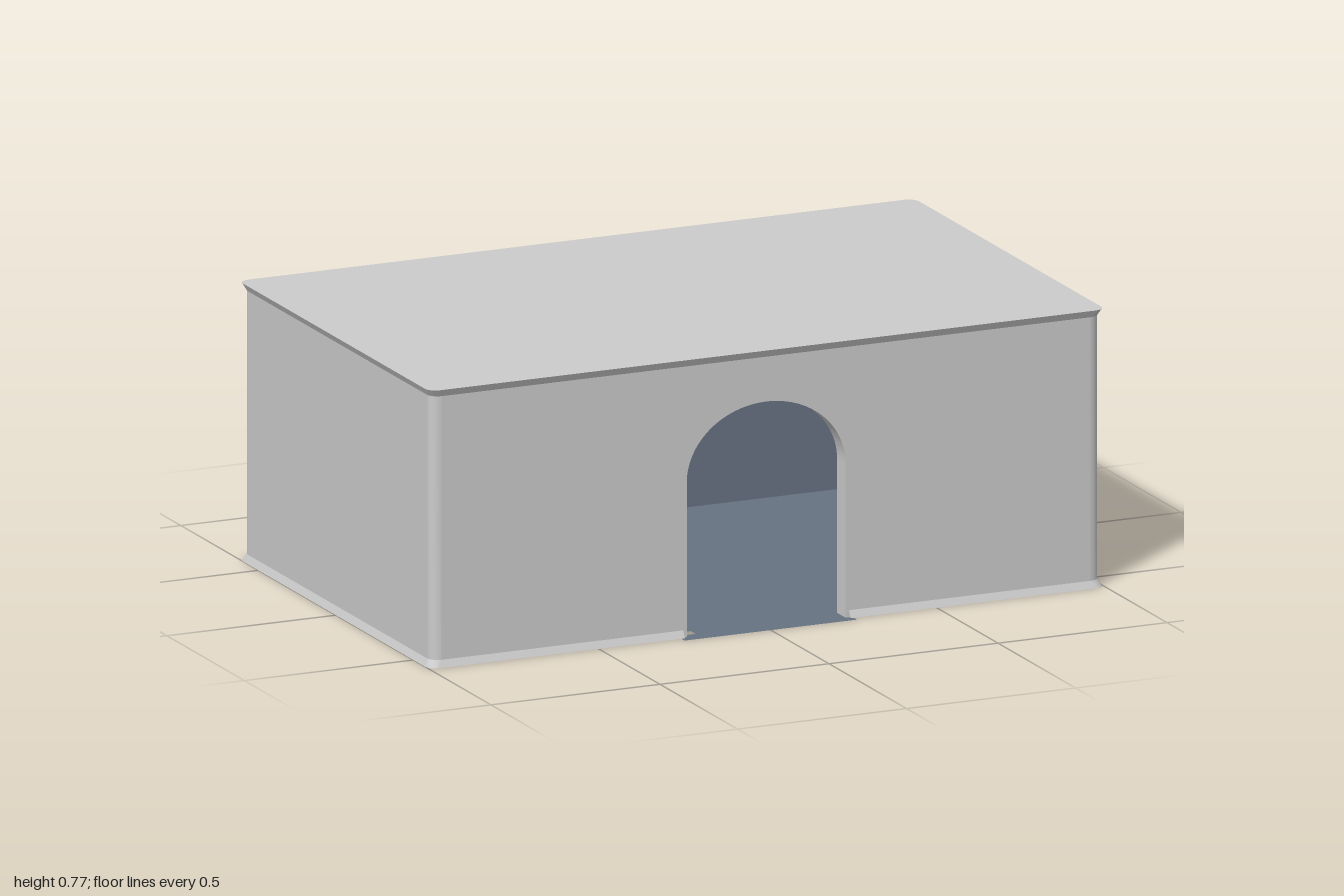
import * as THREE from 'three';

const grey = new THREE.MeshStandardMaterial({ color: 0xcccccc, side: THREE.DoubleSide });
const slate = new THREE.MeshStandardMaterial({ color: 0x677382, side: THREE.DoubleSide });

const HEIGHT = 0.775, FRONT = 0.605, BACK = -0.63;
const DOOR = { half: 0.235, spring: 0.43, rise: 0.2 };

// Rounded plan outline as [x, z] pairs, from (startX, front) round the back to (-startX, front).
function outline(inset, startX) {
  const r = 0.03, x = 1 - inset, front = FRONT - inset, back = BACK + inset;
  const pts = [[startX, front]];
  const corners = [[x - r, front - r], [x - r, back + r], [-x + r, back + r], [-x + r, front - r]];
  corners.forEach(([cx, cz], i) => {
    for (let k = 0; k <= 5; k++) {
      const a = Math.PI / 2 - (i + k / 5) * Math.PI / 2;
      pts.push([cx + r * Math.cos(a), cz + r * Math.sin(a)]);
    }
  });
  pts.push([-startX, front]);
  return pts;
}

// Skin between two outlines at different heights.
function band(lower, y0, upper, y1) {
  const pos = [], index = [];
  lower.forEach(([x, z], i) => {
    pos.push(x, y0, z, upper[i][0], y1, upper[i][1]);
    if (i) {
      const a = 2 * i - 2;
      index.push(a, a + 2, a + 1, a + 1, a + 2, a + 3);
    }
  });
  const g = new THREE.BufferGeometry();
  g.setAttribute('position', new THREE.Float32BufferAttribute(pos, 3));
  g.setIndex(index);
  g.computeVertexNormals();
  return g;
}

export function createModel() {
  const group = new THREE.Group();
  const add = (name, geometry, material = grey) => {
    const mesh = new THREE.Mesh(geometry, material);
    mesh.name = name;
    group.add(mesh);
    return mesh;
  };
  const inset = 0.01, lip = 0.02;

  // Side and back walls with flared lips at the roof and the ground
  add('outerWalls', band(outline(inset, 0.96), lip, outline(inset, 0.96), HEIGHT - lip));
  add('roofLip', band(outline(inset, 0), HEIGHT - lip, outline(0, 0), HEIGHT));
  add('groundLip', band(outline(0, 0.245), 0, outline(inset, 0.245), lip));

  // Front wall with an arched doorway
  const wall = new THREE.Shape();
  wall.moveTo(-0.96, 0);
  wall.lineTo(-DOOR.half, 0);
  wall.lineTo(-DOOR.half, DOOR.spring);
  wall.absellipse(0, DOOR.spring, DOOR.half, DOOR.rise, Math.PI, 0, true);
  wall.lineTo(DOOR.half, 0);
  wall.lineTo(0.96, 0);
  wall.lineTo(0.96, HEIGHT - 0.01);
  wall.lineTo(-0.96, HEIGHT - 0.01);
  const wallGeo = new THREE.ExtrudeGeometry(wall, { depth: 0.055, bevelEnabled: false, curveSegments: 24 });
  add('frontWall', wallGeo).position.z = FRONT - inset - 0.055;

  // Flat roof
  const plan = pts => new THREE.Shape(pts.map(([x, z]) => new THREE.Vector2(x, -z)));
  const roof = new THREE.ShapeGeometry(plan(outline(0, 0.9))).rotateX(-Math.PI / 2);
  add('roof', roof).position.y = HEIGHT;

  // Floor with a doorstep tab and a small slot beside the jamb
  const edge = outline(0, 0.255);
  const floor = plan([[0.255, 0.625], ...edge, [-0.255, 0.625]]);
  floor.holes.push(new THREE.Path([[-0.235, 0.575], [-0.2, 0.575], [-0.2, 0.545], [-0.235, 0.545]]
    .map(([x, z]) => new THREE.Vector2(x, -z))));
  add('floor', new THREE.ShapeGeometry(floor).rotateX(-Math.PI / 2), slate);

  // Lining of the inner room
  const top = HEIGHT - 0.015, depth = 1.14, midZ = -0.03;
  add('backLining', new THREE.PlaneGeometry(1.94, top), slate).position.set(0, top / 2, -0.6);
  for (const [name, x, turn] of [['rightLining', -0.54, 1], ['leftLining', 0.88, -1]]) {
    const side = add(name, new THREE.PlaneGeometry(depth, top), slate);
    side.rotation.y = turn * Math.PI / 2;
    side.position.set(x, top / 2, midZ);
  }
  const ceiling = add('ceiling', new THREE.PlaneGeometry(1.94, depth), slate);
  ceiling.rotation.x = Math.PI / 2;
  ceiling.position.set(0, top, midZ);

  return group;
}
